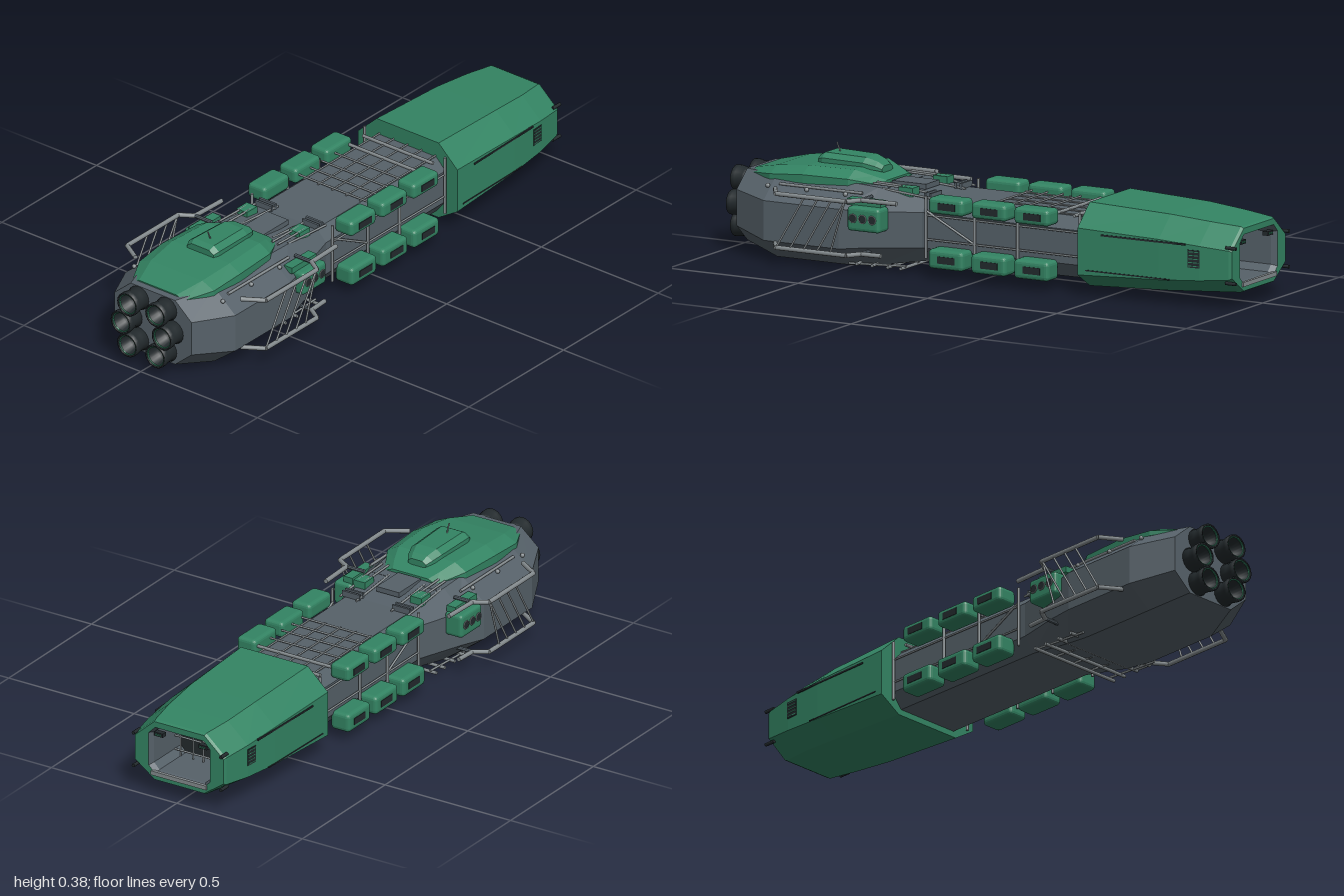
import * as THREE from 'three';
import { RoundedBoxGeometry } from 'three/addons/geometries/RoundedBoxGeometry.js';

export function createModel() {
  const ship = new THREE.Group();
  ship.name = 'spaceship';
  const mat = (name, color, extra = {}) => {
    const m = new THREE.MeshStandardMaterial({ color, ...extra });
    m.name = name;
    return m;
  };
  const green = mat('greenArmour', 0x338463, { flatShading: true });
  const grey = mat('greyHull', 0x566169, { flatShading: true });
  const steel = mat('steelStruts', 0x848b8e);
  const dark = mat('darkMetal', 0x232a2d);

  const add = (name, geo, material, x = 0, y = 0, z = 0) => {
    const m = new THREE.Mesh(geo, material);
    m.name = name;
    m.position.set(x, y, z);
    ship.add(m);
    return m;
  };
  const box = (name, material, x, y, z, w, h, d) =>
    add(name, new THREE.BoxGeometry(w, h, d), material, x, y, z);
  const rod = (name, a, b, r = 0.004, material = steel) => {
    const p = new THREE.Vector3(...a), q = new THREE.Vector3(...b);
    const m = add(name, new THREE.CylinderGeometry(r, r, p.distanceTo(q), 8), material);
    m.position.copy(p).lerp(q, 0.5);
    m.quaternion.setFromUnitVectors(new THREE.Vector3(0, 1, 0), q.sub(p).normalize());
    return m;
  };

  // Octagonal cross-sections along x: [x, half width, bottom, top, side chamfer, top chamfer, bottom chamfer]
  function loft(sections, capStart = true, capEnd = true) {
    const pos = [], idx = [], n = 8;
    for (const [x, w, y0, y1, c, ct, cb = ct] of sections) {
      const t = w - c;
      for (const [z, y] of [[-t, y1], [t, y1], [w, y1 - ct], [w, y0 + cb],
        [t, y0], [-t, y0], [-w, y0 + cb], [-w, y1 - ct]]) pos.push(x, y, z);
    }
    for (let i = 0; i < sections.length - 1; i++) for (let j = 0; j < n; j++) {
      const a = i * n + j, b = i * n + (j + 1) % n;
      idx.push(a, b, a + n, b, b + n, a + n);
    }
    const e = (sections.length - 1) * n;
    for (let k = 1; k < n - 1; k++) {
      if (capStart) idx.push(0, k + 1, k);
      if (capEnd) idx.push(e, e + k, e + k + 1);
    }
    const g = new THREE.BufferGeometry();
    g.setAttribute('position', new THREE.Float32BufferAttribute(pos, 3));
    g.setIndex(idx);
    const flat = g.toNonIndexed();
    flat.computeVertexNormals();
    return flat;
  }

  // Main hull, wide at the stern and slim amidships
  add('hull', loft([
    [-0.935, 0.165, 0.035, 0.278, 0.07, 0.06, 0.06],
    [-0.79, 0.235, 0.002, 0.282, 0.09, 0.075, 0.07],
    [-0.50, 0.235, 0.002, 0.282, 0.09, 0.075, 0.07],
    [-0.40, 0.21, 0.012, 0.275, 0.07, 0.07, 0.07],
    [-0.22, 0.162, 0.042, 0.252, 0.04, 0.04, 0.05],
    [0.42, 0.162, 0.045, 0.252, 0.04, 0.04, 0.05]]), grey);

  // Armoured head with a recessed bay
  add('headArmour', loft([
    [0.41, 0.213, 0.024, 0.308, 0.08, 0.075, 0.05],
    [0.72, 0.207, 0.038, 0.297, 0.08, 0.072, 0.05],
    [0.87, 0.197, 0.048, 0.285, 0.08, 0.07, 0.05],
    [0.975, 0.181, 0.053, 0.276, 0.08, 0.07, 0.055],
    [0.985, 0.176, 0.058, 0.271, 0.077, 0.068, 0.055],
    [0.985, 0.122, 0.08, 0.25, 0.025, 0.025]], true, false), green);
  add('bayWalls', loft([
    [0.985, 0.122, 0.08, 0.25, 0.025, 0.025],
    [0.965, 0.114, 0.088, 0.243, 0.022, 0.022],
    [0.80, 0.114, 0.088, 0.243, 0.022, 0.022]], false, false), grey);
  box('bayBack', dark, 0.799, 0.165, 0, 0.008, 0.165, 0.235);
  for (const z of [-0.09, -0.04, 0, 0.04, 0.09]) rod('bayBar', [0.84, 0.09, z], [0.84, 0.24, z], 0.0032);
  for (const y of [0.11, 0.16, 0.205]) rod('bayCrossBar', [0.84, y, -0.113], [0.84, y, 0.113], 0.0035);
  box('baySill', steel, 0.985, 0.082, 0, 0.012, 0.015, 0.22);

  // Layered armour on the stern deck
  add('deckArmour', loft([
    [-0.91, 0.11, 0.255, 0.283, 0.03, 0.012, 0.01],
    [-0.81, 0.16, 0.255, 0.305, 0.05, 0.022, 0.01],
    [-0.68, 0.167, 0.255, 0.319, 0.045, 0.025, 0.01],
    [-0.51, 0.157, 0.255, 0.319, 0.045, 0.025, 0.01],
    [-0.45, 0.125, 0.255, 0.3, 0.035, 0.018, 0.01],
    [-0.41, 0.1, 0.255, 0.286, 0.03, 0.012, 0.01]]), green);
  add('bridge', loft([
    [-0.685, 0.056, 0.31, 0.34, 0.018, 0.012, 0.004],
    [-0.665, 0.064, 0.31, 0.351, 0.022, 0.016, 0.004],
    [-0.51, 0.06, 0.31, 0.348, 0.022, 0.016, 0.004],
    [-0.47, 0.048, 0.305, 0.336, 0.02, 0.014, 0.004],
    [-0.45, 0.036, 0.30, 0.322, 0.014, 0.01, 0.004]]), green);
  rod('antenna', [-0.63, 0.345, 0], [-0.645, 0.38, 0], 0.0025);
  box('deckHatch', grey, -0.34, 0.273, 0, 0.13, 0.018, 0.09);

  // Cluster of six engines
  const nozzle = [[0.028, 0], [0.043, 0.004], [0.038, 0.025], [0.043, 0.05], [0.043, 0.065],
    [0.036, 0.065], [0.028, 0.02], [0, 0.018]].map(p => new THREE.Vector2(...p));
  for (const s of [-1, 1]) for (const [y, z] of [[0.235, 0.06], [0.157, 0.088], [0.079, 0.06]]) {
    add('engine', new THREE.LatheGeometry(nozzle, 20), dark, -0.932, y, s * z).rotation.z = Math.PI / 2;
    add('engineRing', new THREE.TorusGeometry(0.035, 0.003, 6, 20), green, -0.993, y, s * z).rotation.y = Math.PI / 2;
    rod('enginePipe', [-0.95, y, s * z], [-0.92, y, s * z], 0.034, dark);
  }

  for (const s of [-1, 1]) {
    // Cargo pods in two rows
    for (const x of [-0.095, 0.07, 0.235]) for (const [y, zo, h] of [[0.253, 0.224, 0.056], [0.072, 0.226, 0.066]]) {
      add('cargoPod', new RoundedBoxGeometry(0.135, h, 0.076, 2, 0.014), green, x, y, s * (zo - 0.038));
      box('podWindow', dark, x + 0.005, y, s * zo, 0.066, 0.024, 0.004);
    }

    // Open frame along the middle
    for (const x of [-0.2, -0.012, 0.155, 0.395])
      rod('framePost', [x, 0.06, s * 0.172], [x, x < -0.1 || x > 0.3 ? 0.272 : 0.25, s * 0.172], 0.005);
    for (const y of [0.125, 0.207]) rod('frameRail', [-0.2, y, s * 0.17], [0.4, y, s * 0.17], 0.0035);
    rod('frameBrace', [-0.2, 0.222, s * 0.17], [-0.012, 0.125, s * 0.17], 0.004);

    // Outrigger rails and slanted ladder
    for (const [y, end] of [[0.25, -0.27], [0.067, -0.33]]) {
      const path = [[-0.75, y, s * 0.225], [-0.705, y, s * 0.297], [-0.435, y, s * 0.297],
        [-0.405, y, s * 0.25], [end, y, s * 0.245]];
      for (let i = 0; i < 4; i++) rod('outriggerRail', path[i], path[i + 1], 0.008);
      rod('outriggerArm', [-0.405, y, s * 0.18], [-0.405, y, s * 0.25], 0.007, grey);
    }
    for (let i = 0; i < 5; i++) {
      const x = -0.705 + i * 0.052;
      rod('ladderBar', [x, 0.067, s * 0.297], [Math.min(x + 0.11, -0.44), 0.25, s * 0.297], 0.0035);
    }

    // Launcher box with three ports
    add('launcherBox', new RoundedBoxGeometry(0.125, 0.083, 0.07, 2, 0.012), green, -0.395, 0.184, s * 0.221);
    for (const x of [-0.432, -0.395, -0.358]) {
      rod('launcherPort', [x, 0.187, s * 0.252], [x, 0.187, s * 0.259], 0.014, dark).rotation.x = Math.PI / 2;
      add('launcherPortRing', new THREE.TorusGeometry(0.014, 0.002, 6, 16), steel, x, 0.187, s * 0.258);
    }
    box('shoulderPlate', green, -0.41, 0.235, s * 0.205, 0.13, 0.022, 0.035);

    // Deck guns and fittings
    for (const z of [0.1, 0.125]) rod('gunBarrel', [-0.43, 0.284, s * z], [-0.28, 0.28, s * z], 0.004);
    box('gunMount', green, -0.3, 0.269, s * 0.113, 0.055, 0.03, 0.045);
    for (const x of [-0.38, -0.225, -0.205]) box('deckFitting', grey, x, 0.263, s * 0.1, 0.008, 0.02, 0.07);
    for (const z of [0.07, 0.135]) rod('deckPipe', [-0.39, 0.272, s * z], [-0.19, 0.256, s * z], 0.004);
    for (const x of [-0.8, -0.65, -0.5])
      add('hullStud', new THREE.SphereGeometry(0.008, 8, 6), steel, x, 0.25, s * 0.19);
    rod('hullPipe', [-0.76, 0.258, s * 0.18], [-0.44, 0.258, s * 0.18], 0.005);

    // Head slots, vent and bumper tips
    box('headSlot', dark, 0.66, 0.217, s * 0.2075, 0.32, 0.006, 0.006).rotation.y = s * 0.025;
    box('headLowerSlot', dark, 0.6, 0.092, s * 0.2085, 0.32, 0.004, 0.006).rotation.y = s * 0.02;
    box('headVent', dark, 0.85, 0.17, s * 0.1975, 0.045, 0.06, 0.006).rotation.y = s * 0.067;
    for (let i = -2; i <= 2; i++)
      box('ventSlat', green, 0.85, 0.17 + i * 0.012, s * 0.1995, 0.04, 0.003, 0.004).rotation.y = s * 0.067;
    for (const y of [0.215, 0.095]) rod('bumperTip', [0.96, y, s * 0.174], [1, y, s * 0.174], 0.006, dark);
    box('bayLamp', dark, 0.968, 0.222, s * 0.088, 0.02, 0.014, 0.034);
    for (const z of [0.08, 0.088, 0.096]) box('bayLampGlass', green, 0.979, 0.222, s * z, 0.004, 0.005, 0.005);
  }

  // Lattice over the middle deck
  for (const z of [-0.12, -0.06, 0, 0.06, 0.12]) rod('deckLatticeRail', [0.01, 0.256, z], [0.41, 0.256, z], 0.003);
  for (const x of [0.02, 0.08, 0.14, 0.21, 0.285, 0.36])
    rod('deckLatticeBar', [x, 0.258, -0.15], [x, 0.258, 0.15], x > 0.25 ? 0.006 : 0.0035);

  // Lattice under the stern
  for (const x of [-0.46, -0.4, -0.34, -0.29]) rod('keelLatticeBar', [x, 0.017, -0.185], [x, 0.017, 0.185], 0.006);
  for (const z of [-0.165, -0.08, 0, 0.08, 0.165]) rod('keelLatticeRail', [-0.5, 0.012, z], [-0.28, 0.024, z], 0.004);

  return ship;
}
